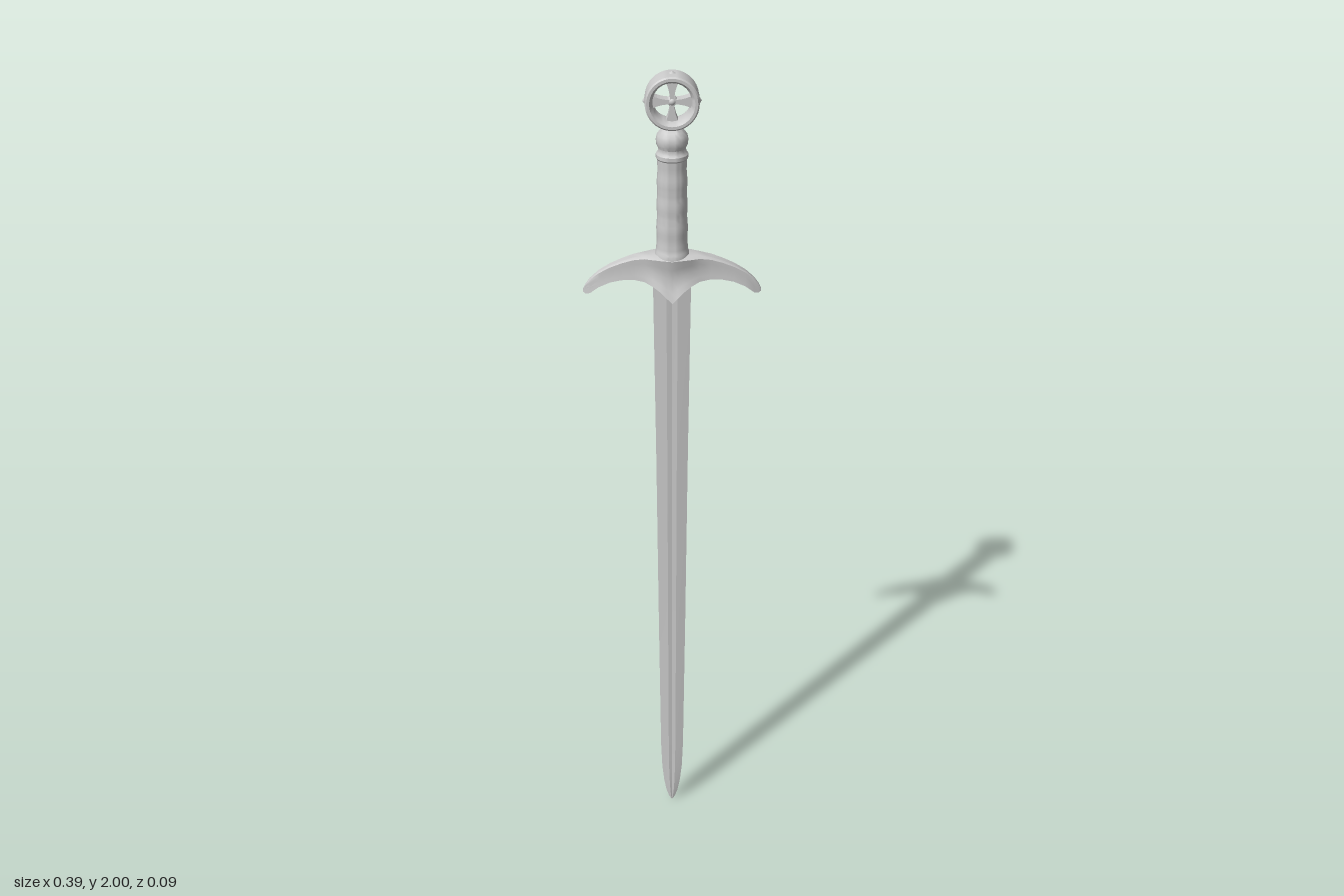
import * as THREE from 'three';
import { toCreasedNormals } from 'three/addons/utils/BufferGeometryUtils.js';

const grey = new THREE.MeshStandardMaterial({ color: 0xcccccc });

function addMesh(parent, name, geometry) {
  const mesh = new THREE.Mesh(geometry, grey);
  mesh.name = name;
  parent.add(mesh);
  return mesh;
}

// Skin a list of closed cross-sections (counter-clockwise seen from the far end), capping both ends
function loft(rings, crease) {
  const n = rings[0].length;
  const index = [];
  for (let i = 0; i < rings.length - 1; i++) {
    for (let j = 0; j < n; j++) {
      const a = i * n + j, b = i * n + (j + 1) % n;
      index.push(a, b, b + n, a, b + n, a + n);
    }
  }
  const last = (rings.length - 1) * n;
  for (let j = 1; j < n - 1; j++) {
    index.push(0, j + 1, j);
    index.push(last, last + j, last + j + 1);
  }
  const geometry = new THREE.BufferGeometry();
  geometry.setAttribute('position', new THREE.Float32BufferAttribute(rings.flat(2), 3));
  geometry.setIndex(index);
  return toCreasedNormals(geometry, crease);
}

function lathe(points, segments, crease = 0.6) {
  const profile = points.map(([r, y]) => new THREE.Vector2(r, y));
  return toCreasedNormals(new THREE.LatheGeometry(profile, segments), crease);
}

// Thin double-edged blade with a shallow central fuller
function bladeGeometry() {
  const stations = [ // y, half width
    [0, 0.001], [0.012, 0.008], [0.035, 0.015], [0.07, 0.021], [0.12, 0.026],
    [0.2, 0.029], [0.6, 0.033], [1.1, 0.037], [1.56, 0.042],
  ];
  const rings = stations.map(([y, w]) => {
    const t = Math.min(0.0045, w * 0.25);
    const front = [[-w, 0], [-0.3 * w, t], [0, t * 0.6], [0.3 * w, t]];
    return [...front, ...front.map(([x, z]) => [-x, -z])].map(([x, z]) => [x, y, z]);
  });
  return loft(rings, 0.2);
}

// Drooping crossguard, waisted in section and pointed over the blade
function guardGeometry() {
  const half = [ // x, top y, bottom y, top depth, waist depth, bottom depth
    [0, 1.606, 1.502, 0.038, 0.030, 0.044],
    [0.012, 1.606, 1.514, 0.037, 0.029, 0.042],
    [0.025, 1.605, 1.526, 0.034, 0.027, 0.038],
    [0.042, 1.604, 1.537, 0.029, 0.023, 0.031],
    [0.06, 1.602, 1.544, 0.020, 0.018, 0.021],
    [0.085, 1.597, 1.548, 0.016, 0.015, 0.017],
    [0.11, 1.588, 1.546, 0.013, 0.013, 0.015],
    [0.135, 1.577, 1.540, 0.011, 0.011, 0.013],
    [0.16, 1.562, 1.528, 0.008, 0.009, 0.011],
    [0.18, 1.544, 1.512, 0.005, 0.006, 0.007],
    [0.19, 1.530, 1.510, 0.003, 0.003, 0.004],
    [0.195, 1.520, 1.513, 0.001, 0.001, 0.001],
  ];
  const stations = [...half.slice(1).reverse().map(([x, ...rest]) => [-x, ...rest]), ...half];
  const rings = stations.map(([x, top, bottom, zt, zm, zb]) => {
    const h = top - bottom;
    const side = [
      [top, 0.6 * zt], [top - 0.08 * h, zt], [top - 0.3 * h, (zt + zm) / 2],
      [top - 0.55 * h, zm], [top - 0.8 * h, (zm + zb) / 2], [bottom, zb],
    ];
    const back = side.map(([y, z]) => [y, -z]).reverse();
    return [...side, ...back].map(([y, z]) => [x, y, z]);
  });
  return loft(rings, 0.7);
}

export function createModel() {
  const sword = new THREE.Group();
  sword.name = 'sword';

  addMesh(sword, 'blade', bladeGeometry());
  addMesh(sword, 'crossguard', guardGeometry());

  // Grip with soft swellings
  const grip = [[0, 1.595], [0.037, 1.595], [0.037, 1.608]];
  for (let i = 0; i <= 24; i++) {
    const t = i / 24;
    grip.push([0.034 - 0.003 * t + 0.0007 * Math.cos(t * Math.PI * 8), 1.612 + 0.206 * t]);
  }
  grip.push([0, 1.818]);
  addMesh(sword, 'grip', lathe(grip, 32));

  // Collar above the grip, narrowing to the neck of the pommel
  addMesh(sword, 'collar', lathe([
    [0, 1.815], [0.031, 1.815], [0.034, 1.819], [0.034, 1.827], [0.030, 1.832],
    [0.029, 1.84], [0.033, 1.848], [0.034, 1.858], [0.032, 1.868],
    [0.026, 1.876], [0.021, 1.882], [0.021, 1.888], [0.027, 1.893], [0, 1.893],
  ], 32));

  // Wheel pommel: deep rim around a recessed cross
  const pommel = new THREE.Group();
  pommel.name = 'pommel';
  pommel.position.y = 1.939;
  sword.add(pommel);

  const rim = addMesh(pommel, 'pommelRim', lathe([
    [0.043, -0.024], [0.047, -0.028], [0.053, -0.028], [0.056, -0.025], [0.057, 0],
    [0.056, 0.025], [0.053, 0.028], [0.047, 0.028], [0.043, 0.024], [0.040, 0.012],
    [0.040, -0.012], [0.043, -0.024],
  ], 40));
  rim.rotation.x = Math.PI / 2;

  for (let i = 0; i < 4; i++) {
    const quarter = new THREE.Group();
    quarter.name = 'pommelQuarter';
    quarter.rotation.z = i * Math.PI / 2;
    pommel.add(quarter);

    // Flared arm of the cross
    const arm = new THREE.Shape();
    arm.moveTo(-0.004, 0);
    arm.lineTo(0.004, 0);
    arm.quadraticCurveTo(0.005, 0.028, 0.014, 0.041);
    arm.lineTo(-0.014, 0.041);
    arm.quadraticCurveTo(-0.005, 0.028, -0.004, 0);
    const armGeometry = new THREE.ExtrudeGeometry(arm, { depth: 0.024, bevelEnabled: false, curveSegments: 6 });
    armGeometry.translate(0, 0, -0.012);
    addMesh(quarter, 'crossArm', armGeometry);

    // Small point on the rim
    const stud = addMesh(quarter, 'rimPoint', new THREE.ConeGeometry(0.012, 0.008, 16));
    stud.position.y = 0.057;
  }
  const hub = addMesh(pommel, 'hub', new THREE.SphereGeometry(0.011, 20, 14));
  hub.scale.z = 1.4;

  return sword;
}
